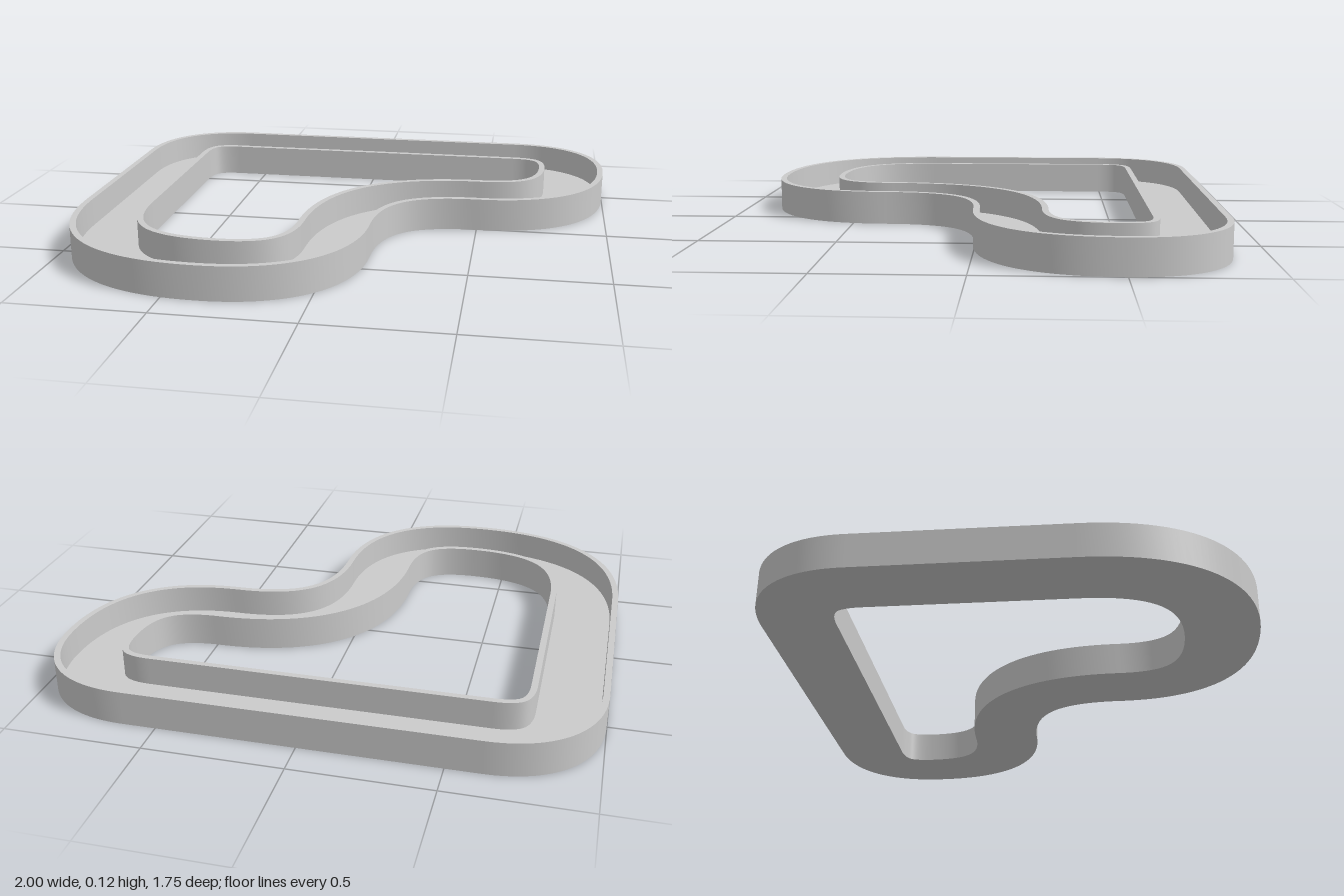
import * as THREE from 'three';

const U = 0.1238;      // layout grid step
const HALF = 0.133;    // half of the track width
const WALL = 0.023;    // wall thickness
const HEIGHT = 0.125;
const FLOOR = 0.02;    // floor thickness
const STEPS = 32;      // samples per bend

// Bends of the closed centre line in grid steps (start, control, end);
// straights bridge the gaps between them.
const bends = [
  [7, -4, 7, -1, 4, -1],
  [4, -1, 0, -1, 0, 3],
  [0, 3, 0, 6, -3, 6],
  [-3, 6, -7, 6, -7, 2],
  [-7, -4, -7, -6, -5, -6],
  [5, -6, 7, -6, 7, -4],
];

// Sample the centre line as points with their outward normals
function centreLine() {
  const samples = [];
  bends.forEach((b, k) => {
    const [x0, z0, x1, z1, x2, z2] = b.map((v) => v * U);
    const curve = new THREE.QuadraticBezierCurve(
      new THREE.Vector2(x0, z0), new THREE.Vector2(x1, z1), new THREE.Vector2(x2, z2));
    const next = bends[(k + 1) % bends.length];
    const joined = next[0] === b[4] && next[1] === b[5];
    const last = joined ? STEPS - 1 : STEPS;
    for (let i = 0; i <= last; i++) {
      const p = curve.getPoint(i / STEPS);
      const t = curve.getTangent(i / STEPS);
      samples.push({ x: p.x, z: p.y, nx: t.y, nz: -t.x });
    }
  });
  return samples;
}

// Sweep a profile of [offset, height] points around the loop;
// every profile edge gets its own vertices so the rims stay sharp.
function sweep(line, profile) {
  const position = [];
  const index = [];
  const n = line.length;
  for (let e = 0; e < profile.length - 1; e++) {
    const base = position.length / 3;
    for (const s of line) {
      for (const [d, y] of [profile[e], profile[e + 1]]) {
        position.push(s.x + s.nx * d, y, s.z + s.nz * d);
      }
    }
    for (let i = 0; i < n; i++) {
      const a = base + 2 * i;
      const d = base + 2 * ((i + 1) % n);
      index.push(a, a + 1, d + 1, a, d + 1, d);
    }
  }
  const geometry = new THREE.BufferGeometry();
  geometry.setAttribute('position', new THREE.Float32BufferAttribute(position, 3));
  geometry.setIndex(index);
  geometry.computeVertexNormals();
  return geometry;
}

export function createModel() {
  const group = new THREE.Group();
  group.name = 'trackTray';
  const material = new THREE.MeshStandardMaterial({ color: 0xcccccc });
  const line = centreLine();
  const inner = HALF - WALL;

  const parts = {
    underside: [[-HALF, 0], [HALF, 0]],
    outerWall: [[HALF, 0], [HALF, HEIGHT], [inner, HEIGHT], [inner, FLOOR]],
    trackFloor: [[inner, FLOOR], [-inner, FLOOR]],
    innerWall: [[-inner, FLOOR], [-inner, HEIGHT], [-HALF, HEIGHT], [-HALF, 0]],
  };
  for (const [name, profile] of Object.entries(parts)) {
    const mesh = new THREE.Mesh(sweep(line, profile), material);
    mesh.name = name;
    group.add(mesh);
  }
  return group;
}
